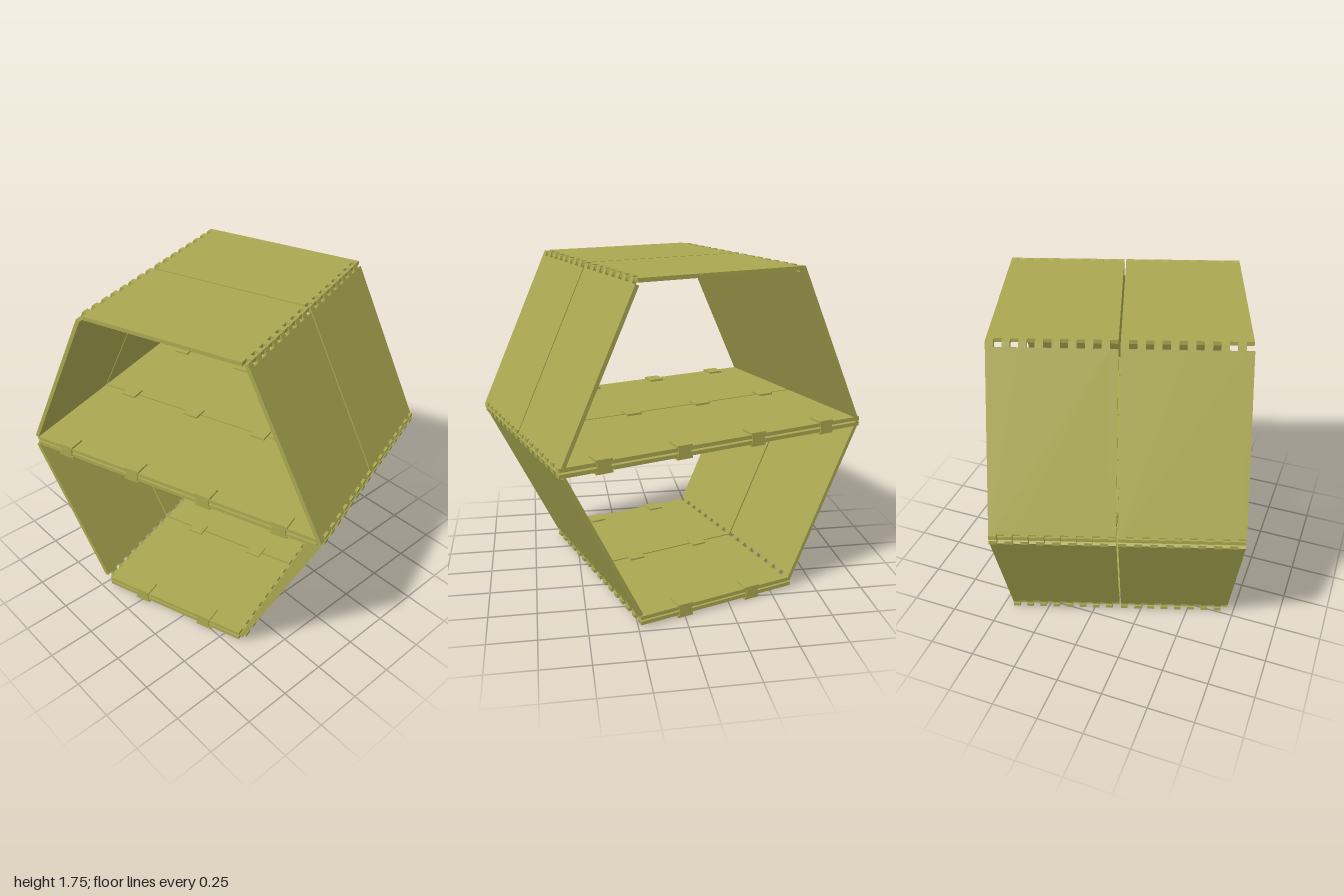
import * as THREE from 'three';

const T = 0.02;        // board thickness
const W = 0.603;       // board width along the tunnel
const OFFSET = 0.3065; // board centre from the middle seam
const TEETH = 8;
const TOOTH = 0.028;   // finger length

const material = new THREE.MeshStandardMaterial({ color: 0xa9a750, flatShading: true });

// Board of the given length with finger joints on both ends; phase picks which half of each pitch is a finger
function boardGeometry(length, phase) {
  const pitch = W / TEETH;
  const h = length / 2;
  const edge = [];
  for (let i = 0; i < TEETH; i++) {
    const x = -W / 2 + i * pitch;
    const first = phase === 0 ? h : h - TOOTH;
    const second = phase === 0 ? h - TOOTH : h;
    edge.push([x, first], [x + pitch / 2, first], [x + pitch / 2, second], [x + pitch, second]);
  }
  const points = [
    ...edge.map(([x, y]) => new THREE.Vector2(x, -y)),
    ...edge.reverse().map(([x, y]) => new THREE.Vector2(x, y)),
  ];
  return new THREE.ExtrudeGeometry(new THREE.Shape(points), { depth: T, bevelEnabled: false });
}

function addMesh(parent, geometry, name, x, y, z) {
  const mesh = new THREE.Mesh(geometry, material);
  mesh.name = name;
  mesh.position.set(x, y, z);
  parent.add(mesh);
  return mesh;
}

// Pair of side-by-side horizontal boards, underside at y
function addDeck(parent, name, y, depth) {
  const geometry = boardGeometry(depth, 1).rotateX(-Math.PI / 2);
  for (const s of [-1, 1]) addMesh(parent, geometry, name, s * OFFSET, y, 0);
}

// Sloping boards on the front and back, given the outer line from (z0, y0) to (z1, y1)
function addWalls(parent, name, z0, y0, z1, y1) {
  const length = Math.hypot(z1 - z0, y1 - y0);
  const geometry = boardGeometry(length, 0)
    .translate(0, 0, -T)
    .rotateX(Math.asin((z1 - z0) / length))
    .translate(0, (y0 + y1) / 2, (z0 + z1) / 2);
  for (const turn of [0, Math.PI]) {
    const side = new THREE.Group();
    side.name = (turn ? 'back' : 'front') + name;
    side.rotation.y = turn;
    for (const s of [-1, 1]) addMesh(side, geometry, name, s * OFFSET, 0, 0);
    parent.add(side);
  }
}

// Clips gripping a double deck at both open ends and over the middle seam
function addClips(parent, y, positions) {
  const pad = new THREE.BoxGeometry(0.085, 0.012, 0.085);
  const web = new THREE.BoxGeometry(0.012, 0.066, 0.07);
  for (const x of [-0.57, 0, 0.57]) {
    for (const z of positions) {
      const clip = new THREE.Group();
      clip.name = 'clip';
      clip.position.set(x, y, z);
      addMesh(clip, pad, 'upperPad', 0, 0.03, 0);
      addMesh(clip, pad, 'lowerPad', 0, -0.03, 0);
      addMesh(clip, web, 'web', Math.sign(x) * 0.037, 0, 0);
      parent.add(clip);
    }
  }
}

export function createModel() {
  const model = new THREE.Group();
  model.name = 'hexagonalShelter';

  const frame = new THREE.Group();
  frame.name = 'hexagonalFrame';
  frame.rotation.y = 0.32;
  model.add(frame);

  // Roof, and double boards for the middle and bottom floors
  addDeck(frame, 'roofBoard', 1.725, 0.9);
  addDeck(frame, 'middleFloorUpperBoard', 0.902, 1.7);
  addDeck(frame, 'middleFloorLowerBoard', 0.872, 1.7);
  addDeck(frame, 'bottomFloorUpperBoard', 0.043, 0.9);
  addDeck(frame, 'bottomFloorLowerBoard', 0.014, 0.9);

  // Four sloping walls close the hexagon
  addWalls(frame, 'LowerWall', 0.445, 0.04, 0.849, 0.892);
  addWalls(frame, 'UpperWall', 0.849, 0.9, 0.45, 1.745);

  // Clips hold the doubled floors together
  addClips(frame, 0.897, [-0.63, -0.21, 0.21, 0.63]);
  addClips(frame, 0.036, [-0.2, 0.2]);

  return model;
}
